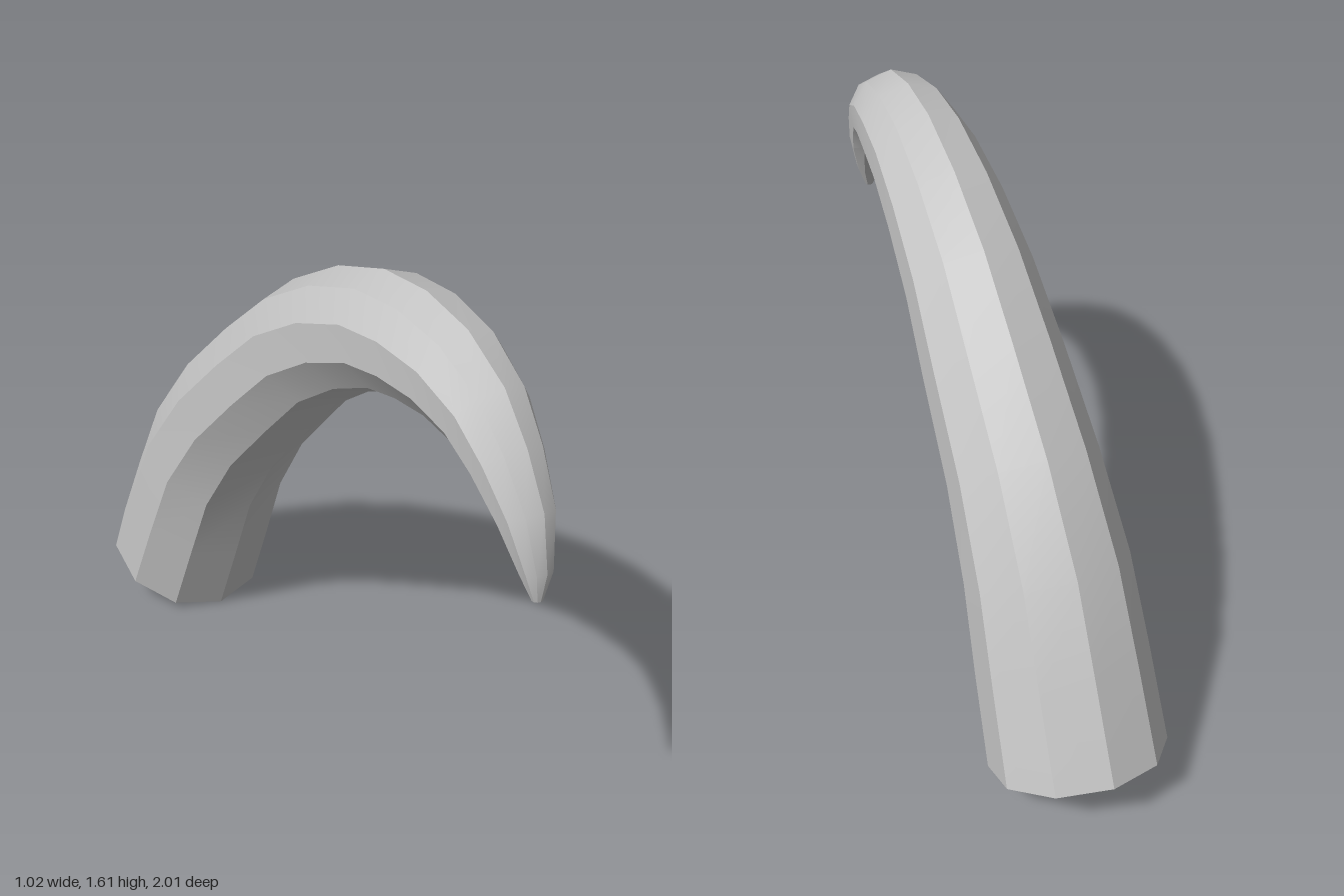
import * as THREE from 'three';
import { toCreasedNormals } from 'three/addons/utils/BufferGeometryUtils.js';

const SIDES = 10;

// Centre line from base to tip: [z, y, radius]
const RINGS = [
  [-0.77, 0.112, 0.263], [-0.655, 0.375, 0.252], [-0.54, 0.63, 0.238],
  [-0.375, 0.865, 0.22], [-0.17, 1.08, 0.205], [0.005, 1.25, 0.189],
  [0.19, 1.37, 0.175], [0.36, 1.44, 0.162], [0.5, 1.458, 0.151],
  [0.633, 1.445, 0.135], [0.75, 1.393, 0.115], [0.835, 1.31, 0.096],
  [0.915, 1.205, 0.075], [0.965, 1.08, 0.043], [0.977, 1.005, 0.014],
];

// Loft ten-sided rings along the leaning centre line and close both ends
function hornGeometry() {
  const centres = RINGS.map(([z, y]) => new THREE.Vector3(-0.035 - 0.4 * z - 0.04 * z * z, y, z));
  const side = new THREE.Vector3(0.92, 0, 0.38).normalize();
  const last = RINGS.length - 1;
  const points = [];
  const index = [];

  centres.forEach((centre, i) => {
    const tangent = centres[Math.min(i + 1, last)].clone().sub(centres[Math.max(i - 1, 0)]).normalize();
    const up = new THREE.Vector3().crossVectors(tangent, side).normalize();
    const across = new THREE.Vector3().crossVectors(up, tangent);
    for (let k = 0; k < SIDES; k++) {
      const a = (k / SIDES) * Math.PI * 2;
      const p = centre.clone()
        .addScaledVector(up, Math.cos(a) * RINGS[i][2])
        .addScaledVector(across, Math.sin(a) * RINGS[i][2]);
      points.push(p.x, p.y, p.z);
    }
  });

  // Side strips (up x across points back along the tangent)
  for (let i = 0; i < last; i++) {
    for (let k = 0; k < SIDES; k++) {
      const a = i * SIDES + k;
      const b = i * SIDES + (k + 1) % SIDES;
      index.push(a, a + SIDES, b, b, a + SIDES, b + SIDES);
    }
  }
  // Base and tip caps
  const tip = last * SIDES;
  for (let k = 1; k < SIDES - 1; k++) {
    index.push(0, k, k + 1, tip, tip + k + 1, tip + k);
  }

  const geometry = new THREE.BufferGeometry();
  geometry.setAttribute('position', new THREE.Float32BufferAttribute(points, 3));
  geometry.setIndex(index);
  // Smooth along the length, sharp between the facets
  return toCreasedNormals(geometry, THREE.MathUtils.degToRad(30));
}

export function createModel() {
  const group = new THREE.Group();
  group.name = 'curvedHorn';
  const material = new THREE.MeshStandardMaterial({ color: 0xc4c4c4 });
  material.name = 'pale grey';
  const horn = new THREE.Mesh(hornGeometry(), material);
  horn.name = 'horn';
  group.add(horn);
  return group;
}
